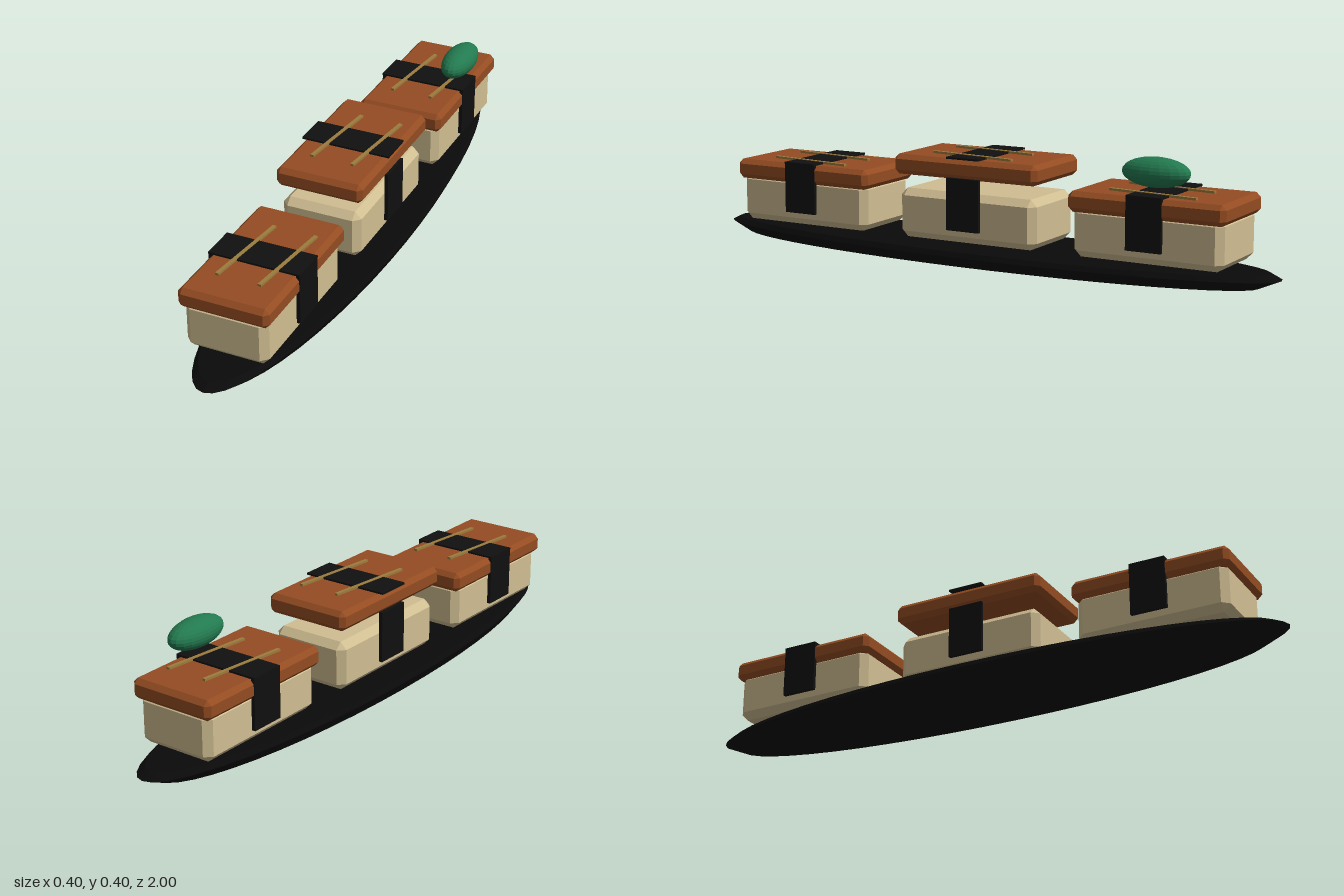
import * as THREE from 'three';
import { ConvexGeometry } from 'three/addons/geometries/ConvexGeometry.js';

const mat = (name, color, flatShading = false) => {
  const m = new THREE.MeshStandardMaterial({ color, flatShading });
  m.name = name;
  return m;
};

// Box with every edge cut by a single chamfer c
function chamferBox(w, h, d, c) {
  const pts = [];
  for (const sx of [-1, 1]) for (const sy of [-1, 1]) for (const sz of [-1, 1]) {
    const x = w / 2, y = h / 2, z = d / 2;
    pts.push(
      new THREE.Vector3(sx * x, sy * (y - c), sz * (z - c)),
      new THREE.Vector3(sx * (x - c), sy * y, sz * (z - c)),
      new THREE.Vector3(sx * (x - c), sy * (y - c), sz * z));
  }
  return new ConvexGeometry(pts);
}

export function createModel() {
  const lacquer = mat('black lacquer', 0x0a0a0a, true);
  const rice = mat('rice', 0xd0be92);
  const fish = mat('fish', 0x944c22);
  const nori = mat('seaweed', 0x101010);
  const fat = mat('pale streak', 0x9c7c3e);
  const green = mat('green paste', 0x237a50, true);

  const model = new THREE.Group();
  model.name = 'sushiPlatter';
  const add = (parent, name, geo, material, x, y, z) => {
    const m = new THREE.Mesh(geo, material);
    m.name = name;
    m.position.set(x, y, z);
    parent.add(m);
    return m;
  };

  // Long oval tray: a lathed dish squeezed across x
  const profile = [[0, 0.002], [0.6, 0.002], [0.93, 0.017], [1, 0.048], [0.965, 0.064], [0, 0.064]]
    .map(([r, y]) => new THREE.Vector2(r, y));
  const tray = add(model, 'tray', new THREE.LatheGeometry(profile, 48), lacquer, 0, 0, 0);
  tray.scale.x = 0.2;

  const riceGeo = chamferBox(0.264, 0.158, 0.49, 0.022);
  const fishGeo = chamferBox(0.29, 0.064, 0.514, 0.015);
  const bandTopGeo = new THREE.BoxGeometry(0.296, 0.006, 0.116);
  const bandSideGeo = new THREE.BoxGeometry(0.012, 0.166, 0.116);
  const streakGeo = new THREE.BoxGeometry(0.012, 0.007, 0.3);

  // Three pieces; the middle topping floats a little higher
  for (const [z, lift] of [[0.62, 0], [0, 0.065], [-0.62, 0]]) {
    const piece = new THREE.Group();
    piece.name = 'sushiPiece';
    piece.position.z = z;
    model.add(piece);
    add(piece, 'riceBlock', riceGeo, rice, 0, 0.157, 0);
    add(piece, 'fishSlice', fishGeo, fish, 0, 0.249 + lift, 0);
    add(piece, 'bandTop', bandTopGeo, nori, 0, 0.284 + lift, 0);
    for (const s of [-1, 1]) add(piece, 'bandSide', bandSideGeo, nori, s * 0.141, 0.203, 0);
    for (const x of [-0.054, 0.082])
      add(piece, 'fatStreak', streakGeo, fat, x, 0.2855 + lift, 0).rotation.y = -0.11;
  }

  // Green paste mound on the rear piece
  const mound = add(model, 'pasteMound', new THREE.SphereGeometry(1, 20, 14), green, 0.103, 0.355, -0.64);
  mound.scale.set(0.052, 0.046, 0.11);

  return model;
}
